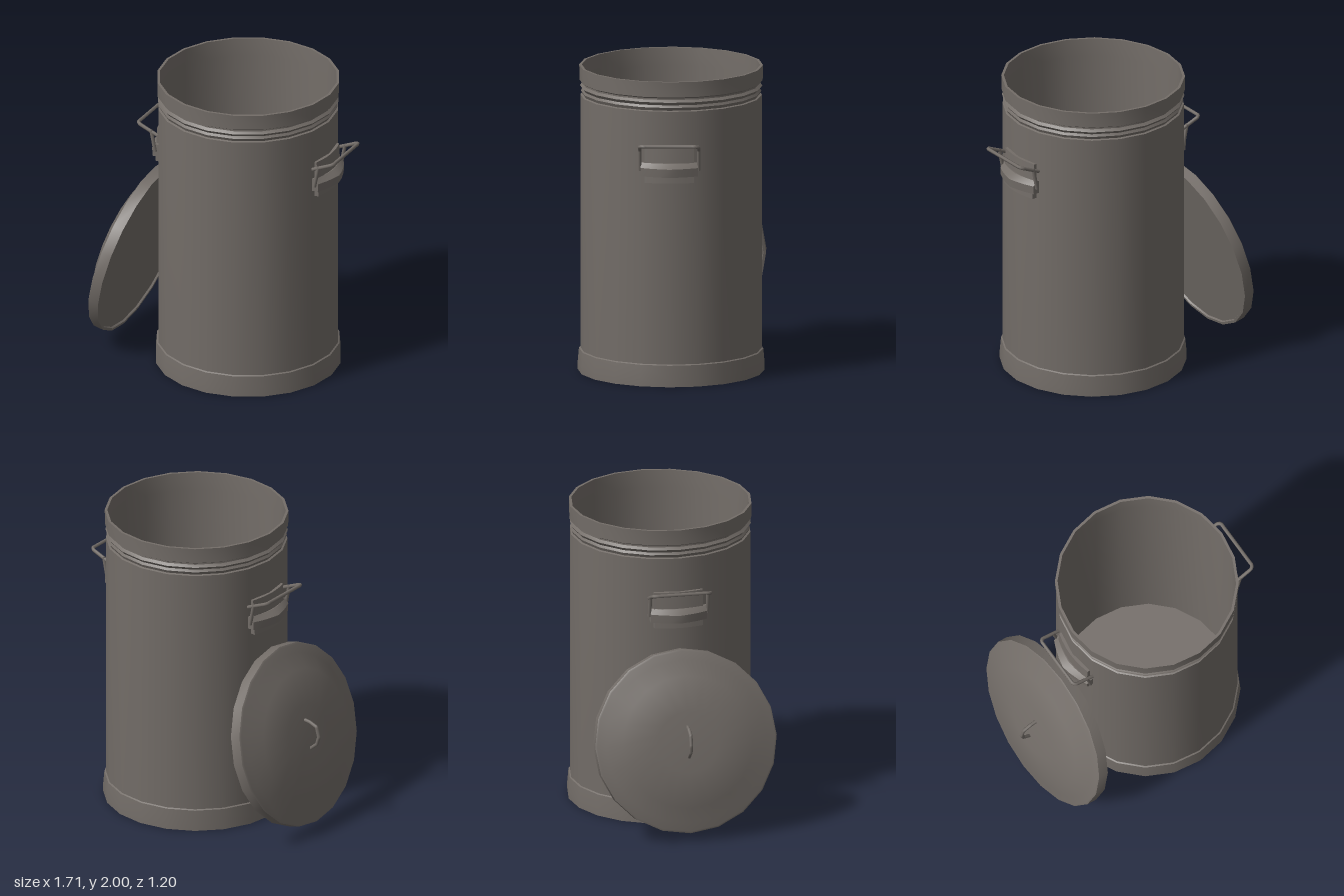
import * as THREE from 'three';
import { toCreasedNormals } from 'three/addons/utils/BufferGeometryUtils.js';

const metal = new THREE.MeshStandardMaterial({ color: 0x736d68 });
metal.name = 'dull grey metal';

const WALL = 0.585; // radius of the can body

function add(parent, name, geometry) {
  const mesh = new THREE.Mesh(geometry, metal);
  mesh.name = name;
  parent.add(mesh);
  return mesh;
}

// Turned part with sharp edges kept
function turned(points, sides) {
  const profile = points.map(([r, y]) => new THREE.Vector2(r, y));
  return toCreasedNormals(new THREE.LatheGeometry(profile, sides), 0.5);
}

// Wire made of straight runs with tight corners
function wire(points, radius, closed = false) {
  const v = points.map((p) => new THREE.Vector3(...p));
  const path = new THREE.CurvePath();
  for (let i = 0; i < v.length - 1; i++) path.add(new THREE.LineCurve3(v[i], v[i + 1]));
  const smooth = new THREE.CatmullRomCurve3(path.getSpacedPoints(40), closed, 'centripetal');
  return new THREE.TubeGeometry(smooth, 48, radius, 6, closed);
}

// Block that hugs the round wall; its depth may differ at the bottom, top and ends
function wallBlock(y0, y1, halfWidth, depthLow, depthHigh, endScale) {
  const geo = new THREE.BoxGeometry(1, 1, 1, 1, 1, 6);
  const p = geo.attributes.position;
  for (let i = 0; i < p.count; i++) {
    const z = p.getZ(i) * 2 * halfWidth;
    const top = p.getY(i) > 0;
    const taper = 1 - (1 - endScale) * Math.abs(z / halfWidth);
    const depth = (top ? depthHigh : depthLow) * taper;
    const surface = Math.sqrt(WALL * WALL - z * z);
    p.setXYZ(i, p.getX(i) > 0 ? surface + depth : surface - 0.008, top ? y1 : y0, z);
  }
  return toCreasedNormals(geo, 0.5);
}

// Side handle: wall plate, bulging grip bracket, posts and a hinged wire loop
function sideHandle() {
  const g = new THREE.Group();
  g.name = 'sideHandle';
  add(g, 'handlePlate', wallBlock(1.34, 1.58, 0.16, 0.03, 0.015, 0.9));
  add(g, 'handleBracketLower', wallBlock(1.385, 1.44, 0.185, 0.07, 0.075, 0.6));
  add(g, 'handleBracketUpper', wallBlock(1.44, 1.47, 0.185, 0.075, 0.03, 0.6));
  for (const s of [-1, 1]) {
    add(g, 'handlePost', wire([[0.575, 1.42, s * 0.19], [0.605, 1.57, s * 0.19]], 0.012));
  }
  add(g, 'handleLoop', wire([
    [0.56, 1.54, 0.19], [0.69, 1.595, 0.19], [0.705, 1.6, 0.175],
    [0.705, 1.6, -0.175], [0.69, 1.595, -0.19], [0.56, 1.54, -0.19],
  ], 0.012));
  return g;
}

export function createModel() {
  const model = new THREE.Group();
  model.name = 'dustbinWithLid';

  // Open can
  const can = new THREE.Group();
  can.name = 'can';
  can.position.x = 0.14;
  model.add(can);
  add(can, 'canBody', turned([
    [0, 0.005], [0.58, 0.005], [WALL, 0.14], [WALL, 1.805], [0.572, 1.81],
    [0.582, 1.83], [0.572, 1.845], [0.588, 1.865], [0.572, 1.88], [0.572, 1.89],
    [0.59, 1.9], [0.592, 2], [0.575, 2], [0.57, 1.88], [0.57, 0.03], [0, 0.03],
  ], 20));
  add(can, 'baseBand', turned([
    [0, 0], [0.602, 0], [0.602, 0.05], [0.594, 0.14], [0.583, 0.147],
  ], 20));

  // A handle on each side
  for (const turn of [0, Math.PI]) {
    const handle = sideHandle();
    handle.rotation.y = turn;
    can.add(handle);
  }

  // Lid leaning against the right side
  const lid = new THREE.Group();
  lid.name = 'lid';
  lid.position.set(-0.61, 0.62, 0);
  lid.rotation.z = 1.318;
  model.add(lid);
  add(lid, 'lidShell', turned([
    [0, 0.012], [0.575, 0.012], [0.58, 0], [0.597, 0], [0.597, 0.07], [0.585, 0.077],
    [0.53, 0.08], [0.43, 0.135], [0.2, 0.152], [0, 0.158],
  ], 20));
  add(lid, 'lidHandle', wire([
    [0.1, 0.15, 0], [0.085, 0.19, 0], [0.05, 0.238, 0],
    [-0.02, 0.238, 0], [-0.065, 0.21, 0], [-0.095, 0.15, 0],
  ], 0.012));

  return model;
}
